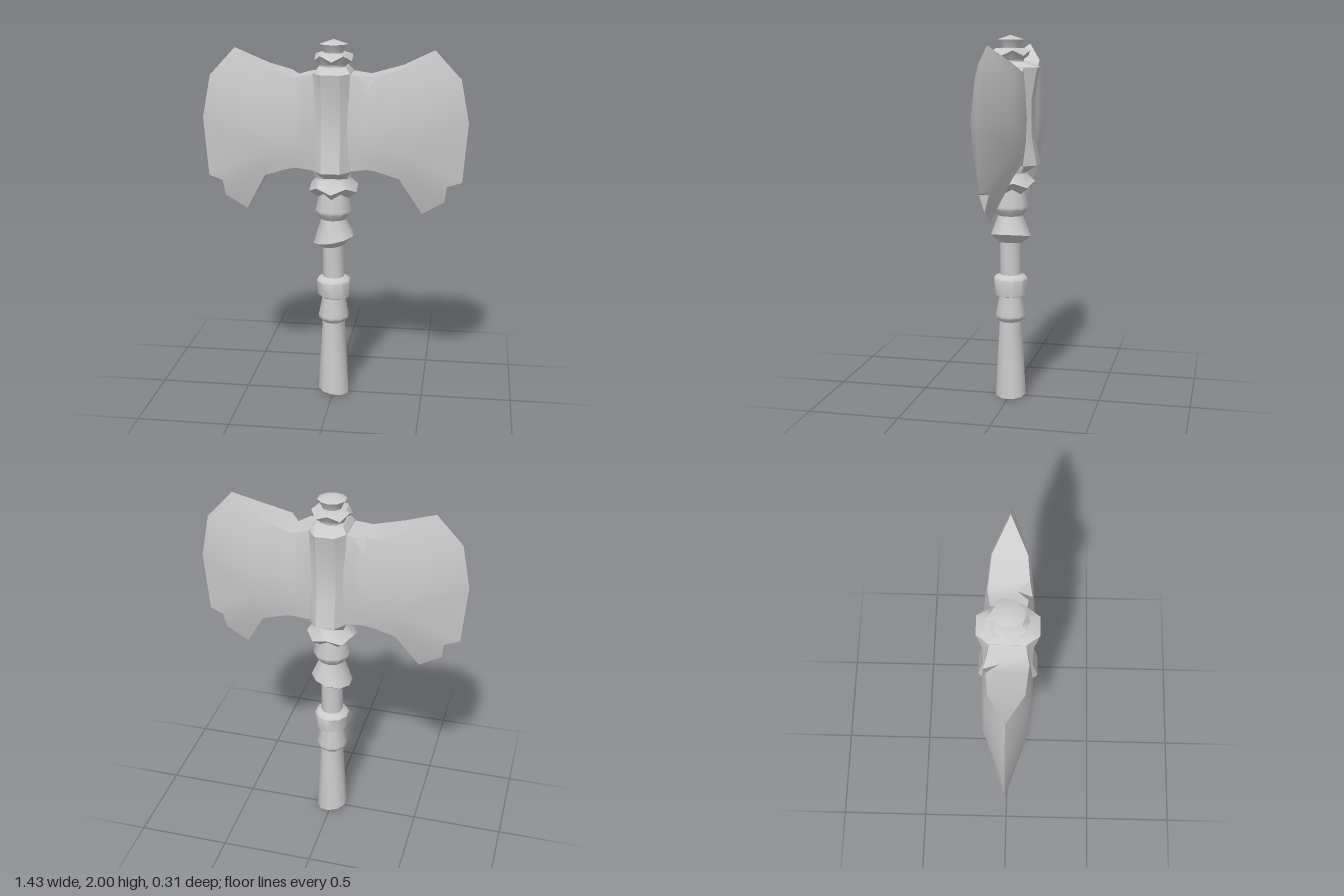
import * as THREE from 'three';
import { toCreasedNormals } from 'three/addons/utils/BufferGeometryUtils.js';

const material = new THREE.MeshStandardMaterial({ color: 0xcccccc });

function part(name, geometry, crease = 0.7) {
  const mesh = new THREE.Mesh(toCreasedNormals(geometry, crease), material);
  mesh.name = name;
  return mesh;
}

// Ten-sided turned part; each ring is [radius, y, tilt, zigzag]
function turned(name, rings) {
  const n = rings.length, sides = 10;
  const geo = new THREE.LatheGeometry(rings.map(([r, y]) => new THREE.Vector2(r, y)), sides);
  const p = geo.attributes.position;
  for (let i = 0; i < p.count; i++) {
    const [, y, tilt = 0, zig = 0] = rings[i % n];
    const side = Math.floor(i / n) % sides;
    p.setY(i, y + tilt * p.getX(i) + (side % 2 ? zig : -zig));
  }
  return part(name, geo);
}

// Eight-sided socket with flared ends; each level is [scale, half depth, y]
function socket() {
  const levels = [[0, 0, 1.27], [0.85, 0.09, 1.27], [1, 0.153, 1.31], [1, 0.125, 1.47],
    [1, 0.125, 1.67], [1, 0.153, 1.83], [0.75, 0.085, 1.86], [0, 0, 1.86]];
  const geo = new THREE.LatheGeometry(levels.map(([, , y]) => new THREE.Vector2(1, y)), 8, Math.PI / 8);
  const p = geo.attributes.position;
  for (let i = 0; i < p.count; i++) {
    const [s, depth] = levels[i % levels.length];
    const x = p.getX(i), z = p.getZ(i), wide = Math.abs(x) > Math.abs(z);
    p.setX(i, Math.sign(x) * (wide ? 0.098 : 0.05) * s);
    p.setZ(i, Math.sign(z) * (wide ? 0.09 * s : depth));
  }
  return part('socket', geo, 0.5);
}

// Blade on the +x side: columns run outward from the socket to the cutting edge
function bladeGeometry() {
  const rows = [0, 0.13, 0.5, 0.75, 0.83, 0.9, 1];
  // x, extra x at mid height, top y, bottom y, half depth at rim, half depth at middle
  const columns = [
    [0.08, 0, 1.83, 1.31, 0.085, 0.1], [0.14, 0, 1.82, 1.32, 0.095, 0.115],
    [0.19, 0, 1.81, 1.33, 0.105, 0.128], [0.24, 0, 1.825, 1.32, 0.1, 0.126],
    [0.36, 0.08, 1.86, 1.28, 0.088, 0.11]];
  // cutting edge with a broken step near its lower tip
  const edge = [[0.53, 1.95, 0], [0.67, 1.8, 0], [0.715, 1.57, 0], [0.69, 1.25, 0],
    [0.61, 1.23, 0.025], [0.6, 1.14, 0], [0.48, 1.07, 0]];
  const last = columns.length;

  function point(r, c, side) {
    if (c === last) return new THREE.Vector3(edge[r][0], edge[r][1], edge[r][2] * side);
    const f = rows[r], bulge = 1 - (2 * f - 1) ** 2;
    const [x, dx, top, bottom, rim, mid] = columns[c];
    const chipped = r === 0 && c === 2 && side > 0;
    const z = chipped ? 0.04 : rim + (mid - rim) * bulge;
    return new THREE.Vector3(x + dx * bulge, top + (bottom - top) * f, z * side);
  }

  const out = [];
  const tri = (a, b, c) => {
    const area = b.clone().sub(a).cross(c.clone().sub(a)).length();
    if (area > 1e-7) for (const v of [a, b, c]) out.push(v.x, v.y, v.z);
  };

  // both faces; the diagonals beside the chip meet at its lowest point
  for (const side of [1, -1]) {
    const face = (a, b, c) => (side > 0 ? tri(a, b, c) : tri(a, c, b));
    for (let r = 0; r < rows.length - 1; r++) {
      for (let c = 0; c < last; c++) {
        const a = point(r, c, side), b = point(r + 1, c, side);
        const d = point(r + 1, c + 1, side), e = point(r, c + 1, side);
        if (c < 2) { face(a, b, d); face(a, d, e); }
        else { face(a, b, e); face(b, d, e); }
      }
    }
  }

  // rim joining the faces: along the bottom, up the edge, back along the top
  const loop = [];
  for (let c = 0; c <= last; c++) loop.push([rows.length - 1, c]);
  for (let r = rows.length - 2; r >= 0; r--) loop.push([r, last]);
  for (let c = last - 1; c >= 0; c--) loop.push([0, c]);
  for (let i = 0; i < loop.length - 1; i++) {
    const f0 = point(...loop[i], 1), b0 = point(...loop[i], -1);
    const f1 = point(...loop[i + 1], 1), b1 = point(...loop[i + 1], -1);
    tri(f0, b0, b1);
    tri(f0, b1, f1);
  }
  const geo = new THREE.BufferGeometry();
  geo.setAttribute('position', new THREE.Float32BufferAttribute(out, 3));
  return geo;
}

export function createModel() {
  const group = new THREE.Group();
  group.name = 'doubleAxe';

  group.add(turned('grip', [[0, 0.015, -0.15], [0.087, 0.015, -0.15], [0.063, 0.44]]));
  group.add(turned('lowerCollar', [[0.063, 0.435], [0.085, 0.46], [0.085, 0.475], [0.065, 0.575], [0.065, 0.6]]));
  group.add(turned('band', [[0.06, 0.575], [0.088, 0.59, -0.08], [0.096, 0.675], [0.085, 0.69], [0.06, 0.7]]));
  group.add(turned('neck', [[0.06, 0.69], [0.06, 0.89]]));
  group.add(turned('middleCollar', [[0.06, 0.875, 0.15], [0.113, 0.915, 0.2], [0.07, 1.03], [0.07, 1.05]]));
  group.add(turned('upperCollar', [[0.07, 1.03], [0.1, 1.07], [0.1, 1.085], [0.08, 1.18], [0.08, 1.2]]));
  group.add(turned('crownRing', [[0.08, 1.165, 0, 0.015], [0.135, 1.205, 0, 0.015], [0.095, 1.26], [0.09, 1.3]]));

  group.add(socket());

  // the two blades are half a turn apart
  for (const [name, turn] of [['leftBlade', 0], ['rightBlade', Math.PI]]) {
    const blade = part(name, bladeGeometry(), 0.55);
    blade.rotation.y = turn;
    group.add(blade);
  }

  group.add(turned('topRing', [[0.07, 1.85], [0.072, 1.87], [0.105, 1.905, 0, 0.015], [0.08, 1.93], [0.05, 1.93]]));
  group.add(turned('pommelCap', [[0.05, 1.92], [0.052, 1.935], [0.075, 1.975], [0, 2]]));
  return group;
}
